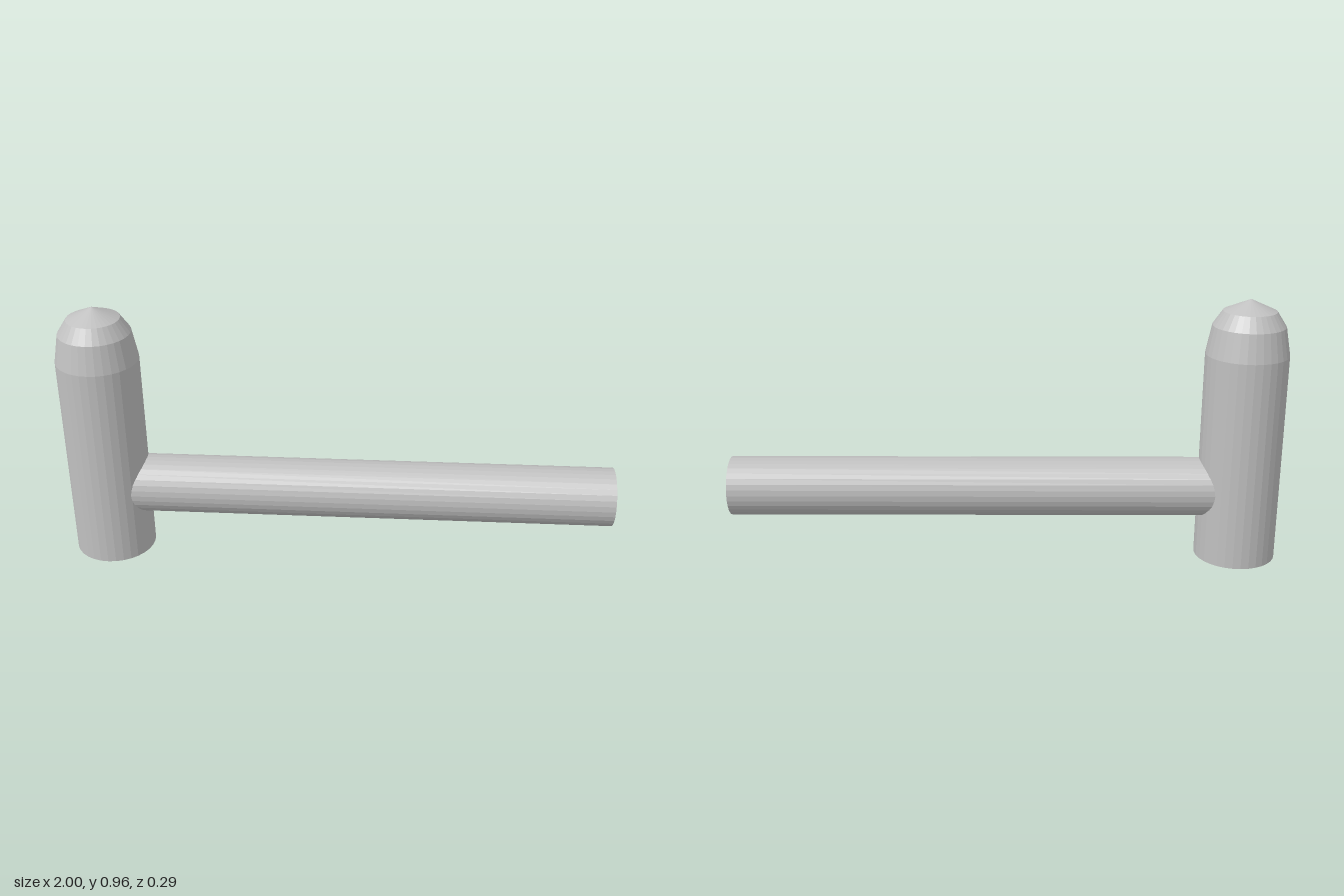
import * as THREE from 'three';

export function createModel() {
  const model = new THREE.Group();
  const steel = new THREE.MeshStandardMaterial({ color: 0xc0c0c0 });
  steel.name = 'grey';
  steel.flatShading = true;

  const segments = 32;
  const headX = -0.853;

  // Upright head: flat base, straight barrel, stepped taper and shallow cone tip
  const profile = [
    [0, 0], [0.147, 0], [0.147, 0.767], [0.128, 0.87], [0.094, 0.922], [0, 0.964],
  ].map(([r, y]) => new THREE.Vector2(r, y));
  const head = new THREE.Mesh(new THREE.LatheGeometry(profile, segments), steel);
  head.name = 'head';
  head.position.x = headX;
  model.add(head);

  // Horizontal handle, running from the middle of the head to the free end
  const length = 1 - headX;
  const handle = new THREE.Mesh(
    new THREE.CylinderGeometry(0.107, 0.107, length, segments), steel);
  handle.name = 'handle';
  handle.rotation.z = Math.PI / 2;
  handle.position.set(headX + length / 2, 0.265, 0);
  model.add(handle);

  return model;
}
